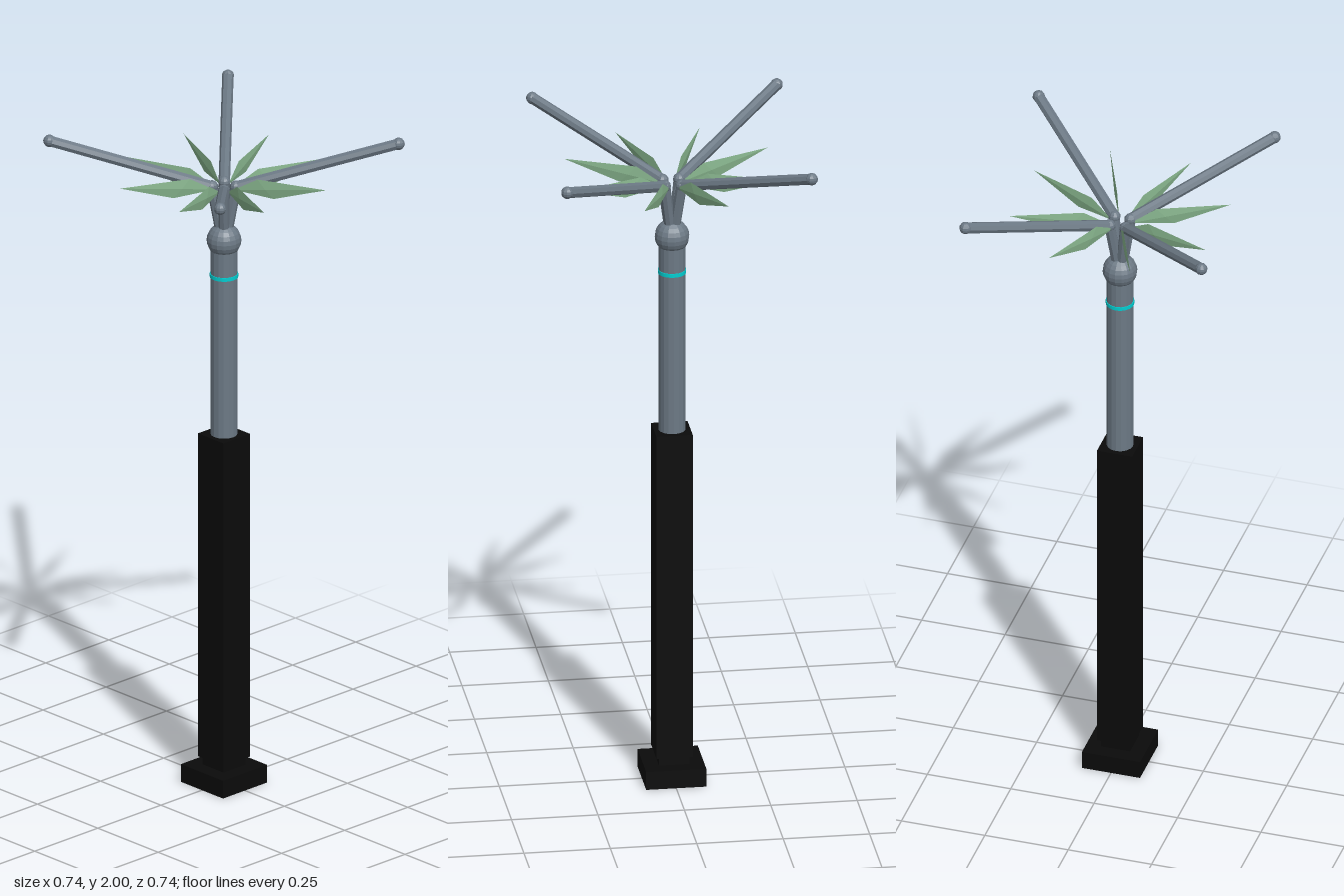
import * as THREE from 'three';

const mat = (name, color, extra = {}) => {
  const m = new THREE.MeshStandardMaterial({ color, ...extra });
  m.name = name;
  return m;
};

export function createModel() {
  const model = new THREE.Group();
  model.name = 'streetLamp';
  const black = mat('black', 0x0b0b0b, { flatShading: true });
  const steel = mat('slateGrey', 0x6c7985, { flatShading: true });
  const green = mat('leafGreen', 0x86b38c, { flatShading: true, side: THREE.DoubleSide });
  const cyan = mat('cyan', 0x00ced1);

  const add = (parent, name, geometry, material, x = 0, y = 0, z = 0) => {
    const mesh = new THREE.Mesh(geometry, material);
    mesh.name = name;
    mesh.position.set(x, y, z);
    parent.add(mesh);
    return mesh;
  };
  const box = (name, width, y0, y1) =>
    add(model, name, new THREE.BoxGeometry(width, y1 - y0, width), black, 0, (y0 + y1) / 2, 0);

  // Square base, neck and column
  box('base', 0.174, 0, 0.055);
  box('neck', 0.088, 0.055, 0.08);
  box('column', 0.105, 0.08, 1.08);

  // Round pole with a glowing band and a ball joint
  add(model, 'pole', new THREE.CylinderGeometry(0.039, 0.039, 0.6, 16), steel, 0, 1.36, 0);
  add(model, 'band', new THREE.CylinderGeometry(0.041, 0.041, 0.011, 24), cyan, 0, 1.572, 0);
  add(model, 'ballJoint', new THREE.SphereGeometry(0.05, 16, 12), steel, 0, 1.68, 0);

  // Straight rod between two points
  const rod = (parent, name, a, b, radius) => {
    const dir = b.clone().sub(a);
    const mesh = add(parent, name, new THREE.CylinderGeometry(radius, radius, dir.length(), 8), steel);
    mesh.position.copy(a).add(b).multiplyScalar(0.5);
    mesh.quaternion.setFromUnitVectors(new THREE.Vector3(0, 1, 0), dir.normalize());
  };

  // Four bent arms on the diagonals
  for (let i = 0; i < 4; i++) {
    const arm = new THREE.Group();
    arm.name = 'arm';
    arm.rotation.y = Math.PI / 4 + (i * Math.PI) / 2;
    const root = new THREE.Vector3(0.006, 1.69, 0);
    const knee = new THREE.Vector3(0.034, 1.845, 0);
    const tip = new THREE.Vector3(0.5, 1.982, 0);
    rod(arm, 'armStem', root, knee, 0.016);
    rod(arm, 'armBranch', knee, tip, 0.0165);
    add(arm, 'armKnee', new THREE.SphereGeometry(0.018, 10, 8), steel, knee.x, knee.y, 0);
    add(arm, 'armTip', new THREE.SphereGeometry(0.018, 10, 8), steel, tip.x, tip.y, 0);
    model.add(arm);
  }

  // Thin kite-shaped leaf, slightly thicker along its middle
  const outline = [[0.03, 1.84], [0.155, 1.832], [0.319, 1.886], [0.105, 1.884]];
  const leafPoints = [];
  for (const side of [1, -1]) {
    outline.forEach((p, i) => {
      const q = outline[(i + 1) % 4];
      const [a, b] = side > 0 ? [p, q] : [q, p];
      leafPoints.push(a[0], a[1], 0, b[0], b[1], 0, 0.13, 1.858, 0.004 * side);
    });
  }
  const leafGeometry = new THREE.BufferGeometry();
  leafGeometry.setAttribute('position', new THREE.Float32BufferAttribute(leafPoints, 3));
  leafGeometry.computeVertexNormals();

  // Ring of eight leaves between the arms
  for (let i = 0; i < 8; i++) {
    add(model, 'leaf', leafGeometry, green).rotation.y = Math.PI / 8 + (i * Math.PI) / 4;
  }
  return model;
}
